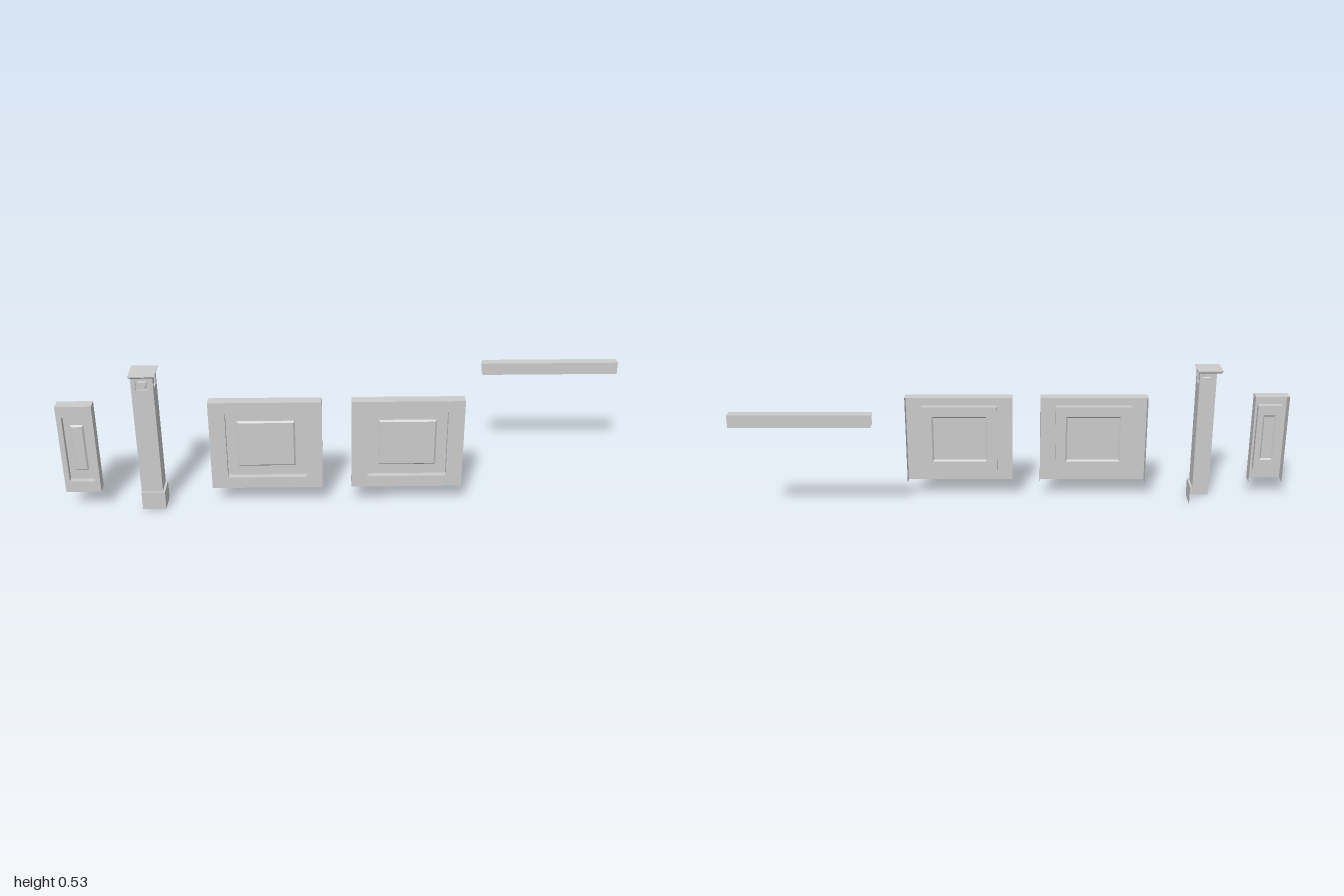
import * as THREE from 'three';

const material = new THREE.MeshStandardMaterial({ color: 0xcccccc, side: THREE.DoubleSide, flatShading: true });

// Skin through rectangles [x0, x1, y0, y1, z]; options leave the end open or skip the bottom of the first strip
function relief(rects, { cap = true, openBottom = false } = {}) {
  const loops = rects.map(([x0, x1, y0, y1, z]) => [[x0, y0, z], [x1, y0, z], [x1, y1, z], [x0, y1, z]]);
  const points = [];
  const quad = (a, b, c, d) => points.push(...a, ...b, ...c, ...a, ...c, ...d);
  for (let k = 0; k < loops.length - 1; k++) {
    for (let i = 0; i < 4; i++) {
      if (openBottom && k === 0 && i === 0) continue;
      const j = (i + 1) % 4;
      quad(loops[k][i], loops[k][j], loops[k + 1][j], loops[k + 1][i]);
    }
  }
  if (cap) quad(...loops[loops.length - 1]);
  const geometry = new THREE.BufferGeometry();
  geometry.setAttribute('position', new THREE.Float32BufferAttribute(points, 3));
  geometry.computeVertexNormals();
  return geometry;
}

const rect = (cx, cy, hw, hh, z) => [cx - hw, cx + hw, cy - hh, cy + hh, z];

function add(parent, name, geometry, x = 0, y = 0, z = 0, turn = 0) {
  const mesh = new THREE.Mesh(geometry, material);
  mesh.name = name;
  mesh.position.set(x, y, z);
  mesh.rotation.y = turn;
  parent.add(mesh);
  return mesh;
}

// Hollow wainscot panel: shell, recess and raised centre field with a narrow bevel
function panel(hw, recessW, fieldW, depth) {
  const hh = 0.171, recessH = 0.1275, fieldH = 0.09, bevel = 0.006;
  return relief([
    rect(0, 0, hw, hh, -depth),
    rect(0, 0, hw, hh, 0),
    rect(0, 0, recessW, recessH, 0),
    rect(0, 0, recessW, recessH, -0.02),
    rect(0, 0, fieldW, fieldH, -0.02),
    rect(0, 0, fieldW - bevel, fieldH - bevel, -0.014),
  ], { openBottom: true });
}

// Post face with a small sunken square near its top
function postFace(hw) {
  const cy = 0.492;
  return relief([
    [-hw, hw, 0.07, 0.519, 0],
    rect(0, cy, 0.022, 0.019, 0),
    rect(0, cy, 0.022, 0.019, -0.007),
    rect(0, cy, 0.015, 0.0125, -0.007),
    rect(0, cy, 0.0125, 0.01, -0.004),
  ]);
}

export function createModel() {
  const model = new THREE.Group();
  model.name = 'wainscotKit';

  // Panels
  add(model, 'narrowPanel', panel(0.0625, 0.0445, 0.024, 0.042), -0.9375, 0.245, 0.15);
  for (const [name, x] of [['widePanelRight', -0.2825], ['widePanelLeft', 0.216]]) {
    add(model, name, panel(0.1975, 0.14, 0.1025, 0.039), x, 0.245, 0.133);
  }

  // Corner post: two faces, open behind
  const post = new THREE.Group();
  post.name = 'cornerPost';
  post.position.set(-0.695, 0, 0.107);
  model.add(post);
  const half = 0.038, out = 0.046, quarter = Math.PI / 2;
  add(post, 'postFront', postFace(half), 0, 0, half);
  add(post, 'postSide', postFace(half), half, 0, 0, quarter);

  // Base boards, stepped out from the post, with a ledge on top
  const boardWidth = half + out;
  const board = new THREE.PlaneGeometry(boardWidth, 0.07);
  const mid = (out - half) / 2;
  add(post, 'baseFront', board, mid, 0.035, out);
  add(post, 'baseSide', board, out, 0.035, mid, quarter);
  const ledge = new THREE.Shape([
    [-half, -out], [out, -out], [out, half], [half, half], [half, -half], [-half, -half],
  ].map(([x, y]) => new THREE.Vector2(x, y)));
  add(post, 'baseLedge', new THREE.ShapeGeometry(ledge).rotateX(-quarter).scale(1, 1, 1), 0, 0.07, 0);

  // Flared cap, open underneath
  const cap = relief([
    rect(0, 0, half, half, 0.518),
    rect(0, 0, out - 0.001, out - 0.001, 0.525),
    rect(0, 0, out - 0.001, out - 0.001, 0.528),
  ]).rotateX(-quarter);
  add(post, 'postCap', cap);

  // Top rail: square tube with open ends
  const rail = relief([
    [0.118, 0.152, 0.395, 0.44, 0.505],
    [0.118, 0.152, 0.395, 0.44, 1],
  ], { cap: false });
  add(model, 'topRail', rail, 0, 0, 0, quarter);

  return model;
}
